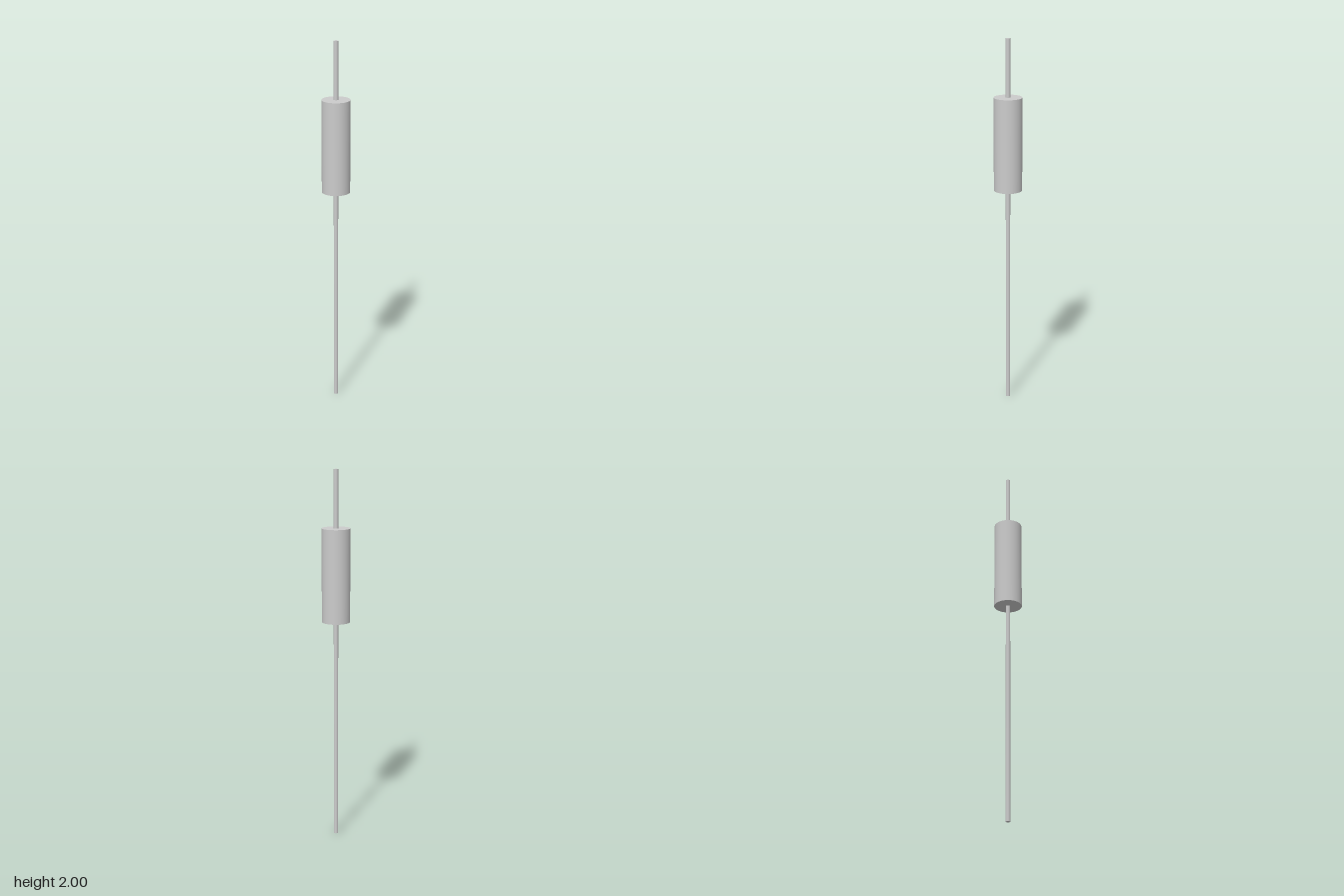
import * as THREE from 'three';

export function createModel() {
  const group = new THREE.Group();
  const material = new THREE.MeshStandardMaterial({ color: 0xcccccc });

  // Upright cylinder spanning two heights on the central axis
  const addCylinder = (name, radius, bottom, top, sides) => {
    const geometry = new THREE.CylinderGeometry(radius, radius, top - bottom, sides);
    const mesh = new THREE.Mesh(geometry, material);
    mesh.name = name;
    mesh.position.y = (bottom + top) / 2;
    group.add(mesh);
  };

  // Thick body with a thin wire lead leaving each end
  addCylinder('body', 0.075, 1.198, 1.695, 64);
  addCylinder('lowerLead', 0.012, 0, 1.198, 32);
  addCylinder('upperLead', 0.012, 1.695, 2, 32);

  return group;
}
